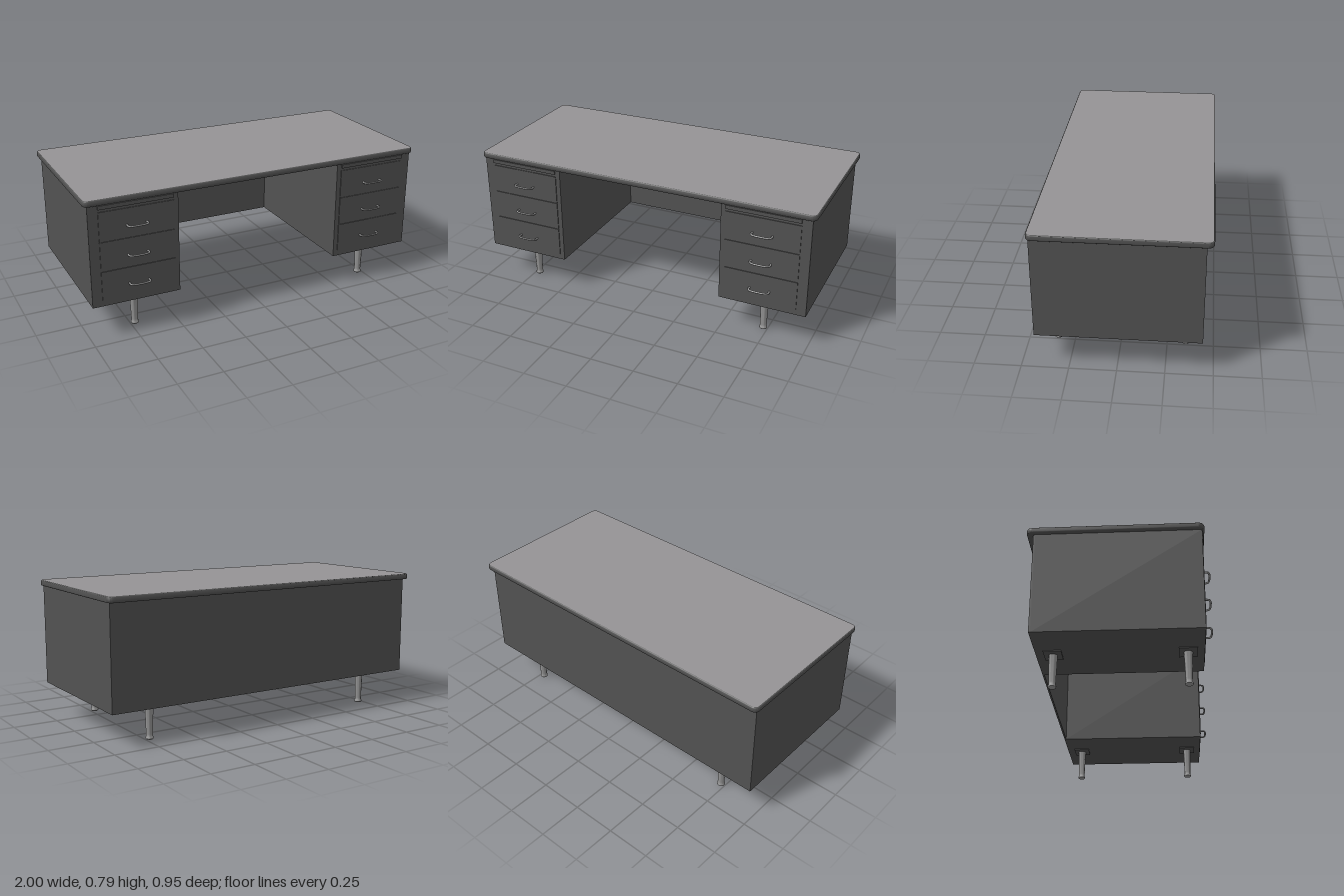
import * as THREE from 'three';
import { toCreasedNormals } from 'three/addons/utils/BufferGeometryUtils.js';

const paint = new THREE.MeshStandardMaterial({ color: 0x525252 });
paint.name = 'dark grey paint';
const laminate = new THREE.MeshStandardMaterial({ color: 0x959395 });
laminate.name = 'light grey laminate';
const metal = new THREE.MeshStandardMaterial({ color: 0x929292 });
metal.name = 'brushed metal';

function add(parent, name, geometry, material, x = 0, y = 0, z = 0) {
  const mesh = new THREE.Mesh(geometry, material);
  mesh.name = name;
  mesh.position.set(x, y, z);
  parent.add(mesh);
  return mesh;
}

// Box given by its limits on each axis
function addBox(parent, name, material, [x0, x1], [y0, y1], [z0, z1]) {
  return add(parent, name, new THREE.BoxGeometry(x1 - x0, y1 - y0, z1 - z0), material,
    (x0 + x1) / 2, (y0 + y1) / 2, (z0 + z1) / 2);
}

// Rounded rectangle centred on the origin
function roundedRect(w, d, r) {
  const s = new THREE.Shape();
  const x = w / 2 - r, y = d / 2 - r;
  s.absarc(x, y, r, 0, Math.PI / 2);
  s.absarc(-x, y, r, Math.PI / 2, Math.PI);
  s.absarc(-x, -y, r, Math.PI, Math.PI * 1.5);
  s.absarc(x, -y, r, Math.PI * 1.5, Math.PI * 2);
  s.closePath();
  return s;
}

function addDesktop(parent) {
  const bevel = 0.009, bottom = 0.754, top = 0.787, z = -0.0175;
  const w = 2 - 2 * bevel, d = 0.915 - 2 * bevel;
  // Slab with a soft edge all round
  const slab = new THREE.ExtrudeGeometry(roundedRect(w, d, 0.022), {
    depth: top - bottom - 2 * bevel, bevelEnabled: true, bevelThickness: bevel,
    bevelSize: bevel, bevelSegments: 4, curveSegments: 8
  });
  slab.rotateX(-Math.PI / 2);
  add(parent, 'desktopSlab', toCreasedNormals(slab, 0.7), paint, 0, bottom + bevel, z);
  // Writing surface laid on the slab
  const surface = new THREE.ShapeGeometry(roundedRect(w + 0.006, d + 0.006, 0.024), 8);
  surface.rotateX(-Math.PI / 2);
  add(parent, 'writingSurface', surface, laminate, 0, top + 0.0006, z);
}

// Flat bow handle, lying in the horizontal plane
function handleGeometry() {
  const path = new THREE.CatmullRomCurve3([
    [-0.054, 0], [-0.056, 0.016], [-0.05, 0.03], [-0.03, 0.036], [0, 0.037],
    [0.03, 0.036], [0.05, 0.03], [0.056, 0.016], [0.054, 0]
  ].map(([x, z]) => new THREE.Vector3(x, 0, z)));
  return new THREE.TubeGeometry(path, 32, 0.0055, 8);
}

// Tapered leg with a rounded foot
function legGeometry() {
  return toCreasedNormals(new THREE.LatheGeometry([
    [0, 0], [0.018, 0], [0.022, 0.004], [0.022, 0.011], [0.0185, 0.016],
    [0.0185, 0.03], [0.023, 0.184]
  ].map(([r, y]) => new THREE.Vector2(r, y)), 20), 0.8);
}

export function createModel() {
  const desk = new THREE.Group();
  desk.name = 'desk';
  addDesktop(desk);
  addBox(desk, 'backPanel', paint, [-0.98, 0.98], [0.187, 0.755], [-0.44, -0.43]);

  const handle = handleGeometry();
  const leg = legGeometry();
  for (const side of [-1, 1]) {
    const pedestal = new THREE.Group();
    pedestal.name = side > 0 ? 'leftPedestal' : 'rightPedestal';
    desk.add(pedestal);
    const span = (a, b) => side > 0 ? [a, b] : [-b, -a];
    addBox(pedestal, 'cabinet', paint, span(0.487, 0.98), [0.187, 0.755], [-0.43, 0.428]);

    // Pull-out board above the drawers
    addBox(pedestal, 'pullOutBoard', paint, span(0.515, 0.925), [0.731, 0.752], [0.42, 0.436]);

    // Three drawers with handles
    for (let i = 0; i < 3; i++) {
      const y = 0.222 + i * 0.166;
      addBox(pedestal, 'drawerFront', paint, span(0.513, 0.925), [y, y + 0.162], [0.42, 0.4325]);
      add(pedestal, 'drawerHandle', handle, metal, side * 0.72, 0.293 + i * 0.1655, 0.43);
    }

    // Legs on mounting plates
    for (const z of [0.343, -0.35]) {
      addBox(pedestal, 'legPlate', paint, span(0.672, 0.778), [0.182, 0.188], [z - 0.047, z + 0.047]);
      add(pedestal, 'leg', leg, metal, side * 0.725, 0, z);
    }
  }
  return desk;
}
